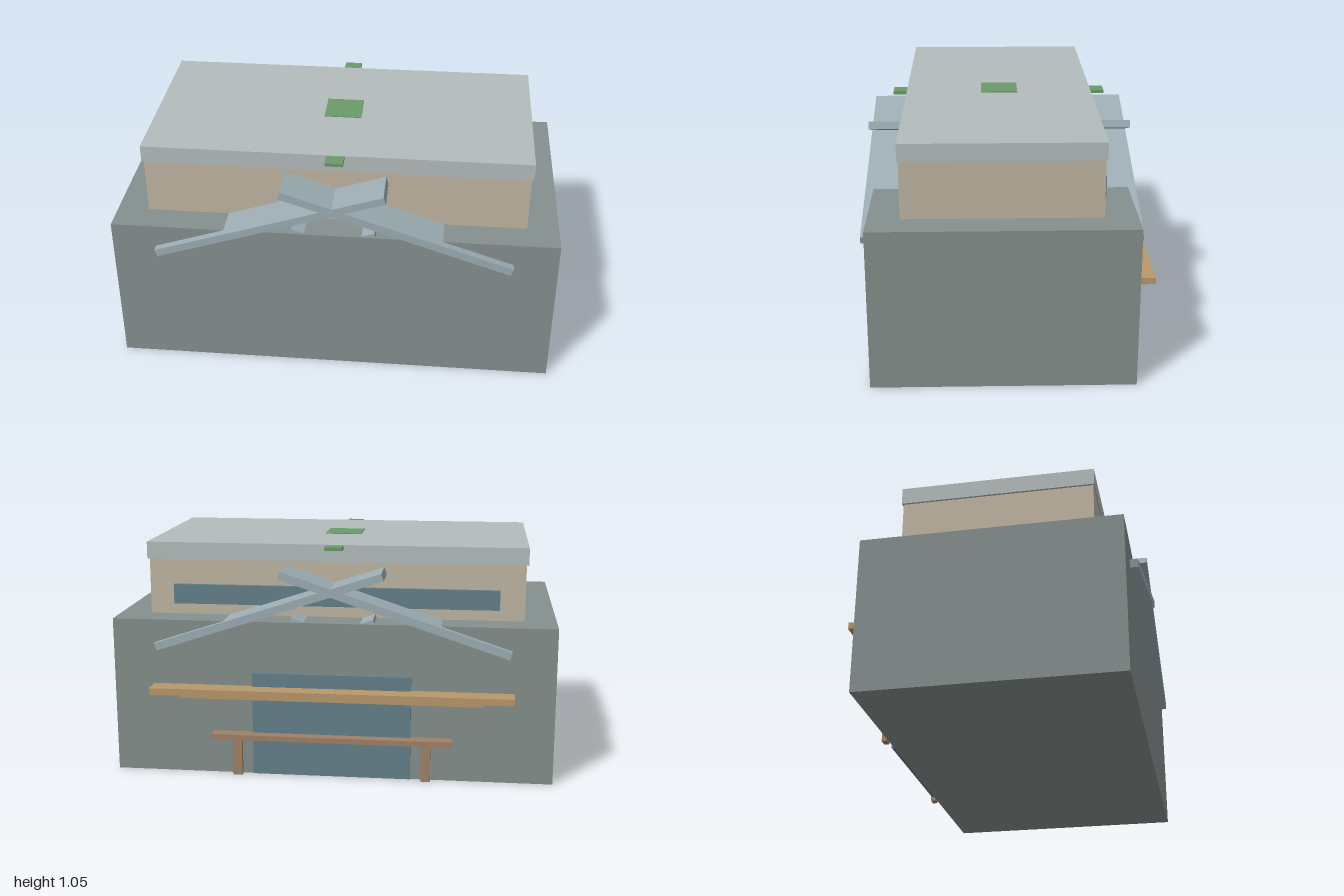
import * as THREE from 'three';

const COLORS = {
  base: 0x858f8d, wall: 0xbfb5a2, roof: 0xb4bcbc, beam: 0x9cadb3,
  glass: 0x64808a, green: 0x6b9a6b, wood: 0xb8986a, bench: 0x9f8168,
};

export function createModel() {
  const model = new THREE.Group();
  model.name = 'pavilion';
  const mats = {};
  for (const key in COLORS) mats[key] = new THREE.MeshStandardMaterial({ color: COLORS[key] });

  // Box given by its ranges on x, y and z
  function block(name, mat, [x0, x1], [y0, y1], [z0, z1]) {
    const mesh = new THREE.Mesh(new THREE.BoxGeometry(x1 - x0, y1 - y0, z1 - z0), mats[mat]);
    mesh.position.set((x0 + x1) / 2, (y0 + y1) / 2, (z0 + z1) / 2);
    mesh.name = name;
    model.add(mesh);
    return mesh;
  }

  // Sloping slab between two points in the xy plane, running through the depth
  function slab(name, [ax, ay], [bx, by], thickness, [z0, z1]) {
    const length = Math.hypot(bx - ax, by - ay);
    const mesh = new THREE.Mesh(new THREE.BoxGeometry(length, thickness, z1 - z0), mats.beam);
    mesh.position.set((ax + bx) / 2, (ay + by) / 2, (z0 + z1) / 2);
    mesh.rotation.z = Math.atan2(by - ay, bx - ax);
    mesh.name = name;
    model.add(mesh);
  }

  // Main volumes
  block('base', 'base', [-1, 1], [0, 0.715], [-0.543, 0.598]);
  block('upperStorey', 'wall', [-0.858, 0.858], [0.002, 0.97], [-0.4, 0.459]);
  block('roofSlab', 'roof', [-0.868, 0.868], [0.97, 1.048], [-0.406, 0.464]);

  // Crossed slabs through the building, and the low pair whose tips break the base top
  for (const s of [-1, 1]) {
    slab('crossSlab', [-0.797 * s, 0.595], [0.23 * s, 0.934], 0.035, [-0.578, 0.634]);
    slab('lowerCrossSlab', [-0.19 * s, 0.717], [0.15 * s, 0.605], 0.035, [-0.53, 0.59]);
  }

  // Green accents on the roof
  block('roofPatch', 'green', [-0.085, 0.085], [1.04, 1.052], [-0.058, 0.112]);
  block('frontTab', 'green', [-0.04, 0.04], [1.03, 1.045], [0.45, 0.528]);
  block('backTab', 'green', [-0.04, 0.04], [1.03, 1.045], [-0.47, -0.39]);

  // Back wall: window strip, door and canopy
  block('windowStrip', 'glass', [-0.745, 0.745], [0.765, 0.855], [-0.417, -0.39]);
  block('door', 'glass', [-0.36, 0.36], [0.003, 0.48], [-0.557, -0.53]);
  block('canopy', 'wood', [-0.818, 0.818], [0.387, 0.417], [-0.635, -0.54]);
  block('canopySupport', 'wood', [-0.685, 0.685], [0.366, 0.387], [-0.6, -0.54]);

  // Bench with two legs
  block('benchSeat', 'bench', [-0.545, 0.545], [0.176, 0.2], [-0.605, -0.54]);
  for (const x of [-0.43, 0.43]) {
    block('benchLeg', 'bench', [x - 0.021, x + 0.021], [0, 0.176], [-0.575, -0.552]);
  }

  return model;
}
